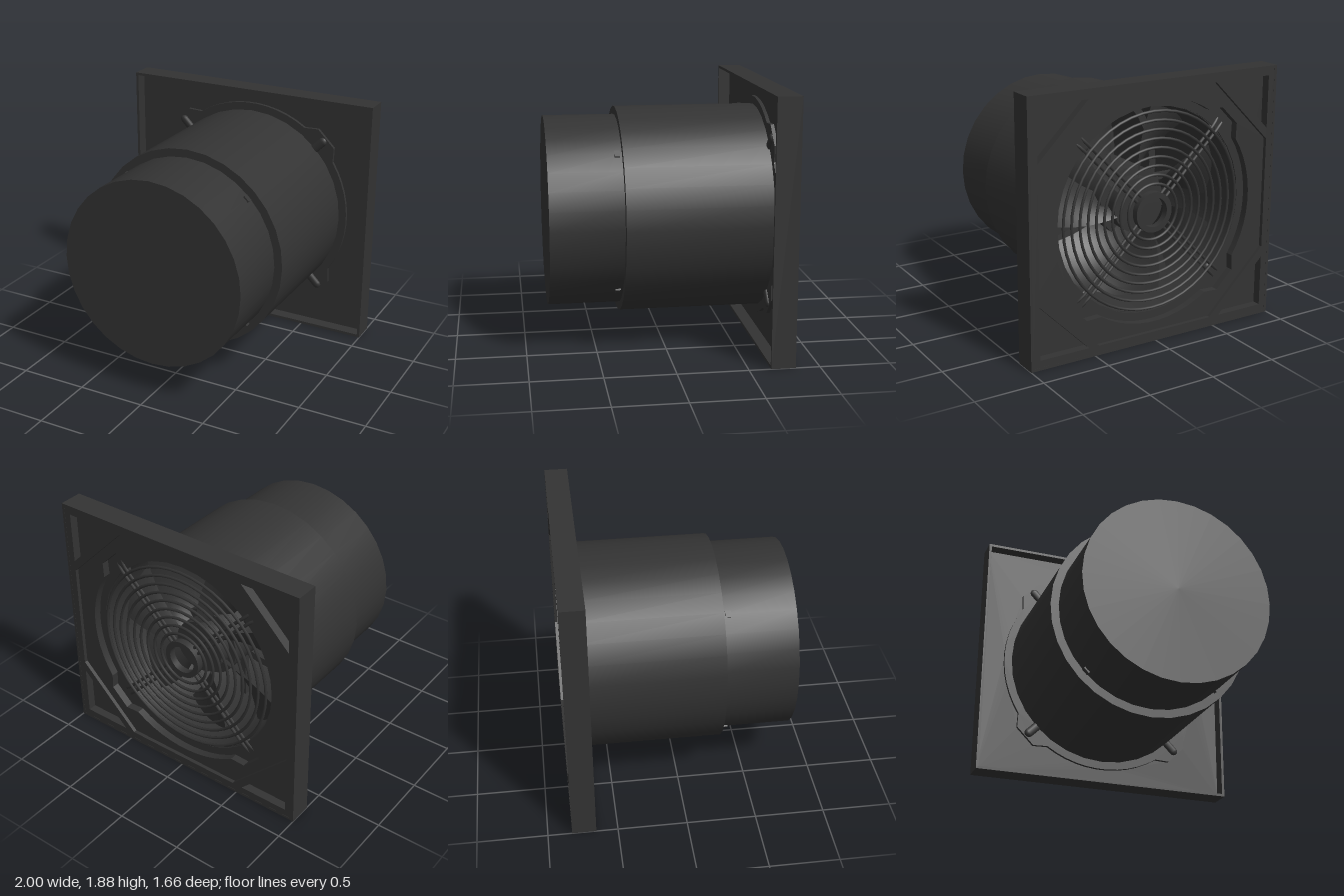
import * as THREE from 'three';
import { toCreasedNormals } from 'three/addons/utils/BufferGeometryUtils.js';

const CY = 0.942; // height of the fan axis
const HALF_H = 0.94;

export function createModel() {
  const model = new THREE.Group();
  const fan = new THREE.Group();
  fan.name = 'ventilationFan';
  fan.position.y = CY;
  model.add(fan);

  const mat = new THREE.MeshStandardMaterial({ color: 0x333333, side: THREE.DoubleSide });
  const add = (name, geo, parent = fan) => {
    const mesh = new THREE.Mesh(geo, mat);
    mesh.name = name;
    parent.add(mesh);
    return mesh;
  };

  // A flat part with its outline in x/y, reaching from z0 to z1
  const slab = (outline, holes, z0, z1) => {
    const shape = new THREE.Shape(outline);
    shape.holes = holes.map((h) => new THREE.Path(h));
    const geo = new THREE.ExtrudeGeometry(shape, { depth: z1 - z0, bevelEnabled: false });
    geo.translate(0, 0, z0);
    return toCreasedNormals(geo, 0.4);
  };
  const v = (x, y) => new THREE.Vector2(x, y);
  const rect = (w, h) => [v(-w, -h), v(w, -h), v(w, h), v(-w, h)];
  const octagon = (w, h, c) => [
    v(w, -h + c), v(w, h - c), v(w - c, h), v(-w + c, h),
    v(-w, h - c), v(-w, -h + c), v(-w + c, -h), v(w - c, -h),
  ];
  const circle = (r, n = 36) => Array.from({ length: n }, (_, i) => {
    const a = (i / n) * Math.PI * 2;
    return v(r * Math.cos(a), r * Math.sin(a));
  });
  // Round outline with an ear at each of the four diagonals
  const eared = (s) => {
    const pts = [];
    for (let q = 0; q < 4; q++) {
      const rot = (x, y) => pts.push(v(x * s, y * s).rotateAround(v(0, 0), (q * Math.PI) / 2));
      for (let d = -33; d <= 33; d += 6) {
        const a = THREE.MathUtils.degToRad(d);
        rot(0.805 * Math.cos(a), 0.805 * Math.sin(a));
      }
      rot(0.68, 0.55);
      rot(0.55, 0.68);
    }
    return pts;
  };

  // Mounting plate: thin rim, panel, back frame with corner pockets
  const pockets = [];
  for (const sx of [-1, 1]) {
    for (const sy of [-1, 1]) {
      pockets.push([v(sx * 0.93, sy * 0.87), v(sx * 0.93, sy * 0.49), v(sx * 0.55, sy * 0.87)]);
    }
  }
  add('plateRim', slab(rect(1, HALF_H), [rect(0.98, HALF_H - 0.02)], -0.828, -0.655)).position.y = HALF_H - CY;
  add('platePanel', slab(rect(0.985, 0.925), [eared(1)], -0.765, -0.745));
  add('backFrame', slab(rect(0.985, 0.925), [octagon(0.93, 0.87, 0.46), ...pockets], -0.827, -0.765));
  add('backPanel', slab(octagon(0.932, 0.872, 0.46), [eared(1)], -0.8, -0.765));
  add('earedFlange', slab(eared(1.01), [circle(0.745)], -0.745, -0.72));

  // Stepped duct, closed at the front
  const profile = [
    v(0.74, -0.735), v(0.755, -0.735), v(0.755, 0.31), v(0.695, 0.31),
    v(0.695, 0.83), v(0, 0.83),
  ];
  const duct = new THREE.LatheGeometry(profile, 32);
  duct.rotateX(Math.PI / 2);
  add('duct', toCreasedNormals(duct, 0.6));

  // Small catches at the duct step
  for (let i = 0; i < 4; i++) {
    const a = Math.PI / 4 + (i * Math.PI) / 2;
    const latch = add('ductCatch', new THREE.BoxGeometry(0.02, 0.05, 0.04));
    latch.position.set(0.695 * Math.cos(a), 0.695 * Math.sin(a), 0.345);
    latch.rotation.z = a;
  }

  // Finger guard: concentric wires, hub ring and four doubled spokes
  const guard = new THREE.Group();
  guard.name = 'fingerGuard';
  guard.position.z = -0.765;
  fan.add(guard);
  for (let i = 0; i < 9; i++) {
    add('guardRing', new THREE.TorusGeometry(0.2 + i * 0.064, 0.011, 6, 48), guard);
  }
  add('guardHub', slab(circle(0.145), [circle(0.105)], -0.02, 0.03), guard);
  for (let i = 0; i < 4; i++) {
    const a = Math.PI / 4 + (i * Math.PI) / 2;
    const w = 0.024;
    const path = new THREE.CatmullRomCurve3([
      [0.13, -w, 0.02], [0.45, -w, 0.02], [0.76, -w, 0.018], [0.83, -w, 0.035],
      [0.86, 0, 0.04],
      [0.83, w, 0.035], [0.76, w, 0.018], [0.45, w, 0.02], [0.13, w, 0.02],
    ].map((p) => new THREE.Vector3(...p)));
    add('guardSpoke', new THREE.TubeGeometry(path, 48, 0.012, 6), guard).rotation.z = a;

    // Raised slot around the spoke's foot, on the front of the flange
    const foot = new THREE.CapsuleGeometry(0.034, 0.1, 4, 10);
    foot.rotateZ(Math.PI / 2);
    foot.scale(1, 1, 0.6);
    foot.translate(0.79, 0, -0.72);
    add('spokeFoot', foot).rotation.z = a;
  }

  // Motor and its support struts
  const motor = new THREE.CylinderGeometry(0.26, 0.26, 0.5, 32);
  motor.rotateX(Math.PI / 2);
  add('motor', motor).position.z = -0.25;
  const hub = new THREE.CylinderGeometry(0.2, 0.2, 0.12, 32);
  hub.rotateX(Math.PI / 2);
  add('impellerHub', hub).position.z = -0.53;
  for (let i = 0; i < 4; i++) {
    const strut = new THREE.BoxGeometry(0.5, 0.05, 0.04);
    strut.translate(0.5, 0, -0.05);
    add('motorStrut', strut).rotation.z = (i * Math.PI) / 2;
  }

  // Impeller blades, twisted from root to tip
  for (let i = 0; i < 7; i++) {
    const blade = new THREE.PlaneGeometry(1, 1, 8, 6);
    const pos = blade.attributes.position;
    for (let k = 0; k < pos.count; k++) {
      const t = pos.getX(k) + 0.5;
      const c = pos.getY(k);
      const r = 0.19 + t * 0.52;
      const a = c * 0.62 + t * 0.25;
      const pitch = THREE.MathUtils.lerp(0.24, 0.16, t);
      pos.setXYZ(k, r * Math.cos(a), r * Math.sin(a), -0.5 + c * pitch + c * c * 0.08);
    }
    blade.computeVertexNormals();
    add('impellerBlade', blade).rotation.z = (i / 7) * Math.PI * 2;
  }

  return model;
}
